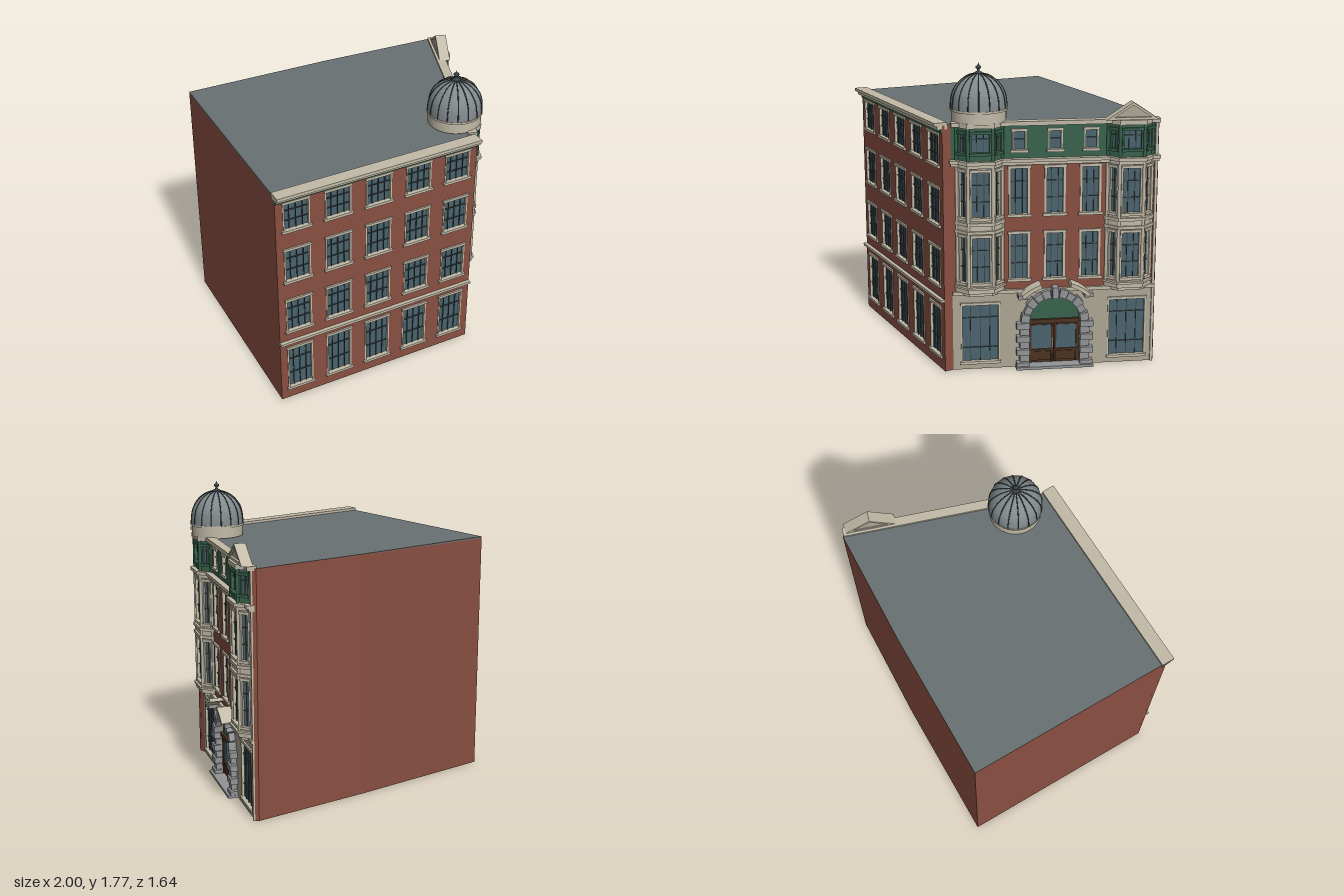
import * as THREE from 'three';

const mat = (color) => new THREE.MeshStandardMaterial({ color, side: THREE.DoubleSide });
const M = {
  brick: mat(0x8a4f41), stone: mat(0xc2bba8), wall: mat(0xaea695), glass: mat(0x4a646d),
  roof: mat(0x687173), green: mat(0x3a634e), grey: mat(0x929496), wood: mat(0x4c3322),
  dark: mat(0x3c4345), dome: mat(0x828b8e),
};

function add(parent, name, geo, m, x = 0, y = 0, z = 0) {
  const mesh = new THREE.Mesh(geo, m);
  mesh.name = name;
  mesh.position.set(x, y, z);
  parent.add(mesh);
  return mesh;
}
// box given by its extents
const box = (p, name, m, x0, x1, y0, y1, z0, z1) =>
  add(p, name, new THREE.BoxGeometry(x1 - x0, y1 - y0, z1 - z0), m, (x0 + x1) / 2, (y0 + y1) / 2, (z0 + z1) / 2);

const poly = (pts) => new THREE.Shape(pts.map(([x, y]) => new THREE.Vector2(x, y)));
const extrude = (shape, depth) => new THREE.ExtrudeGeometry(shape, { depth, bevelEnabled: false, curveSegments: 20 });
// plan outline (x, z) raised between two heights
const prism = (p, name, m, pts, y0, y1) =>
  add(p, name, extrude(poly(pts), y1 - y0).rotateX(Math.PI / 2), m, 0, y1, 0);

function group(parent, name, x, z, angle) {
  const g = new THREE.Group();
  g.name = name;
  g.position.set(x, 0, z);
  g.rotation.y = angle;
  parent.add(g);
  return g;
}

// wall sheet with rectangular openings, outer face on z = 0
function panel(p, name, m, x0, x1, y0, y1, holes, extra = []) {
  const s = poly([[x0, y0], [x1, y0], [x1, y1], [x0, y1]]);
  for (const [a, b, c, d] of holes) s.holes.push(poly([[a, c], [a, d], [b, d], [b, c]]));
  s.holes.push(...extra);
  add(p, name, extrude(s, 0.015), m, 0, 0, -0.015);
}

// glazed opening with casing, glazing bars, sill and lintel
function windowUnit(p, [x0, x1, y0, y1], { cols = 3, rows = [0.35, 0.7], trim = M.stone, t = 0.009, ledge = 0.01 } = {}) {
  const g = new THREE.Group();
  g.name = 'window';
  p.add(g);
  add(g, 'glass', new THREE.PlaneGeometry(x1 - x0, y1 - y0), M.glass, (x0 + x1) / 2, (y0 + y1) / 2, -0.012);
  const w = x1 - x0, h = y1 - y0;
  for (let i = 1; i < cols; i++) {
    const x = x0 + w * i / cols;
    box(g, 'glazingBar', M.dark, x - 0.002, x + 0.002, y0, y1, -0.012, -0.006);
  }
  for (const r of rows) box(g, 'glazingBar', M.dark, x0, x1, y0 + h * r - 0.002, y0 + h * r + 0.002, -0.012, -0.005);
  for (const x of [x0, x1 - t]) box(g, 'casing', trim, x, x + t, y0, y1, -0.012, 0.004);
  box(g, 'sill', trim, x0 - ledge, x1 + ledge, y0 - 0.008, y0 + 0.008, -0.012, 0.014);
  box(g, 'lintel', trim, x0 - ledge * 0.6, x1 + ledge * 0.6, y1 - 0.008, y1 + 0.008, -0.012, 0.01);
}

// curved or ring-shaped block
function arcBand(p, name, m, r0, r1, a0, a1, y, z0, z1, x) {
  const s = new THREE.Shape();
  s.absarc(0, 0, r1, a0, a1, false);
  s.absarc(0, 0, r0, a1, a0, true);
  add(p, name, extrude(s, z1 - z0), m, x, y, z0);
}

const L = [-0.98, 0.34], F = [0.2, 0.78], A = [0.215, 0.73], B = [0.96, -0.17];
const rear = [[0.95, -0.19], [0.3, -0.48], [-0.53, -0.82]];
const TOP = 1.44;

function buildShell(root) {
  // plain walls, open underneath
  const strip = (name, pts) => {
    for (let i = 0; i + 1 < pts.length; i++) {
      const [a, b] = [pts[i], pts[i + 1]];
      const len = Math.hypot(b[0] - a[0], b[1] - a[1]);
      const m = add(root, name, new THREE.PlaneGeometry(len, TOP), M.brick, (a[0] + b[0]) / 2, TOP / 2, (a[1] + b[1]) / 2);
      m.rotation.y = Math.atan2(-(b[1] - a[1]), b[0] - a[0]);
    }
  };
  strip('cornerWall', [F, A]);
  strip('rearWall', [B, ...rear, L]);
  prism(root, 'roof', M.roof, [L, F, A, B, ...rear], TOP - 0.01, TOP);
}

function buildSideFront(root) {
  const len = Math.hypot(F[0] - L[0], F[1] - L[1]);
  const g = group(root, 'brickFront', L[0], L[1], Math.atan2(L[1] - F[1], F[0] - L[0]));
  const openings = [];
  for (const [y0, y1] of [[0.075, 0.375], [0.5, 0.725], [0.855, 1.075], [1.2, 1.385]])
    for (let i = 0; i < 5; i++) {
      const c = 0.125 + i * 0.252;
      openings.push([c - 0.08, c + 0.08, y0, y1]);
    }
  panel(g, 'brickWall', M.brick, 0, len, 0, TOP, openings);
  openings.forEach((o) => windowUnit(g, o, { cols: 4 }));
  box(g, 'stringCourse', M.stone, 0, len, 0.418, 0.434, -0.01, 0.022);
  box(g, 'frieze', M.green, 0, len, 1.394, 1.42, -0.01, 0.008);
  box(g, 'corniceLower', M.stone, -0.003, len, 1.415, 1.436, -0.03, 0.03);
  box(g, 'corniceUpper', M.stone, -0.005, len, 1.436, 1.455, -0.03, 0.047);
}

// canted bay: outline, three glazed faces per storey, corner posts
function buildBay(p, c) {
  const g = group(p, 'bay', c, 0, 0);
  const a = 0.127, b = 0.07, d = 0.057;
  const outline = (e) => [[-a - e, -0.01], [-a - e, 0], [-b - e * 0.42, d + e], [b + e * 0.42, d + e], [a + e, 0], [a + e, -0.01]];
  const pts = [[-a, 0], [-b, d], [b, d], [a, 0]];
  const storeys = [[0.5, 0.84, 0.53, 0.81, M.stone], [0.84, 1.215, 0.91, 1.185, M.stone], [1.235, 1.435, 1.28, 1.4, M.green]];
  for (const [y0, y1, w0, w1, m] of storeys) {
    for (let i = 0; i < 3; i++) {
      const [p0, p1] = [pts[i], pts[i + 1]];
      const len = Math.hypot(p1[0] - p0[0], p1[1] - p0[1]);
      const f = group(g, 'bayFace', p0[0], p0[1], Math.atan2(p0[1] - p1[1], p1[0] - p0[0]));
      const o = [0.012, len - 0.012, w0, w1];
      panel(f, 'bayWall', m, 0, len, y0, y1, [o]);
      windowUnit(f, o, { cols: i === 1 ? 3 : 2, trim: m, ledge: 0.004, rows: m === M.green ? [0.7] : [0.35, 0.7] });
    }
    for (const [x, z] of pts) add(g, 'cornerPost', new THREE.CylinderGeometry(0.01, 0.01, y1 - y0, 8), m, x, (y0 + y1) / 2, z);
  }
  for (const [y0, y1, e] of [[0.455, 0.475, -0.01], [0.475, 0.5, 0.01], [0.5, 0.512, 0.02], [0.825, 0.842, 0.016],
    [0.842, 0.872, 0.004], [0.872, 0.89, 0.016], [1.2, 1.22, 0.012], [1.22, 1.24, 0.026], [1.425, 1.452, 0.014]])
    prism(g, 'bayBand', M.stone, outline(e), y0, y1);
}

function buildEntrance(p, c) {
  const g = group(p, 'entrance', c, 0, 0);
  const r = 0.147, spring = 0.28;
  // jamb blocks and arch stones, alternating large and small
  for (const s of [-1, 1])
    for (let i = 0; i < 7; i++) {
      const w = i % 2 ? 0.055 : 0.075, xs = [s * r, s * (r + w)].sort((m, n) => m - n);
      box(g, 'jambBlock', M.grey, xs[0], xs[1], i * 0.04 + 0.002, i * 0.04 + 0.038, -0.02, i % 2 ? 0.035 : 0.045);
    }
  for (let i = 0; i < 11; i++)
    arcBand(g, 'archStone', M.grey, r, i % 2 ? 0.187 : 0.197, (i + 0.04) * Math.PI / 11, (i + 0.96) * Math.PI / 11, spring, -0.02, i % 2 ? 0.035 : 0.045, 0);
  for (const s of [0, 1]) {
    const a = THREE.MathUtils.degToRad(s ? 108 : 46), e = THREE.MathUtils.degToRad(s ? 134 : 72);
    arcBand(g, 'brokenPediment', M.stone, 0.262, 0.284, a, e, 0.25, 0, 0.085, 0);
    const x = s ? -0.19 : 0.19;
    box(g, 'pedimentBlock', M.grey, x - 0.025, x + 0.025, 0.43, 0.455, 0, 0.07);
  }
  box(g, 'keystone', M.grey, -0.018, 0.018, 0.425, 0.49, 0, 0.06);
  // fanlight panel and transom
  add(g, 'fanlight', new THREE.CircleGeometry(r, 24, 0, Math.PI), M.green, 0, spring, -0.01);
  box(g, 'transom', M.wood, -r, r, 0.258, 0.284, -0.02, 0.006);
  // double door with flanking lights
  box(g, 'doorBacking', M.wood, -r, r, 0, 0.26, -0.022, -0.014);
  for (const s of [-1, 1]) {
    const pair = (name, m, x0, x1, y0, y1, z1) => box(g, name, m, Math.min(s * x0, s * x1), Math.max(s * x0, s * x1), y0, y1, -0.015, z1);
    pair('doorGlass', M.glass, 0.015, 0.13, 0.1, 0.245, -0.01);
    pair('doorPanel', M.wood, 0.018, 0.128, 0.03, 0.085, -0.006);
    pair('doorStile', M.wood, 0.002, 0.015, 0.02, 0.258, -0.004);
    pair('doorStile', M.wood, 0.13, r, 0.02, 0.258, -0.004);
    pair('doorRail', M.wood, 0.002, r, 0.088, 0.1, -0.003);
    pair('doorHandle', M.stone, 0.006, 0.01, 0.11, 0.17, 0.004);
  }
  box(g, 'doorStep', M.grey, -0.225, 0.225, 0, 0.016, -0.02, 0.06);
}

function buildMainFront(root) {
  const len = Math.hypot(B[0] - A[0], B[1] - A[1]);
  const g = group(root, 'mainFront', A[0], A[1], Math.atan2(A[1] - B[1], B[0] - A[0]));
  const mid = len / 2, bays = [0.158, len - 0.158], cols = [mid - 0.203, mid, mid + 0.203];
  // ground storey
  const shop = bays.map((c) => [c - 0.112, c + 0.112, 0.04, 0.395]);
  const arch = new THREE.Path();
  arch.moveTo(mid - 0.147, 0.001).lineTo(mid + 0.147, 0.001).lineTo(mid + 0.147, 0.28);
  arch.absarc(mid, 0.28, 0.147, 0, Math.PI, false);
  arch.lineTo(mid - 0.147, 0.001);
  panel(g, 'groundWall', M.wall, 0, len, 0, 0.47, shop, [arch]);
  shop.forEach((o) => windowUnit(g, o, { cols: 4, rows: [0.25, 0.76], ledge: 0.005 }));
  box(g, 'shopCornice', M.stone, 0, len, 0.455, 0.475, -0.01, 0.018);
  buildEntrance(g, mid);
  // brick storeys
  const windows = cols.flatMap((c) => [[c - 0.06, c + 0.06, 0.53, 0.81], [c - 0.06, c + 0.06, 0.91, 1.19]]);
  panel(g, 'brickWall', M.brick, 0, len, 0.47, 1.22, windows);
  windows.forEach((o) => windowUnit(g, o, { t: 0.014 }));
  // green attic storey
  const attic = cols.map((c) => [c - 0.04, c + 0.04, 1.28, 1.4]);
  panel(g, 'atticWall', M.green, 0, len, 1.22, TOP, attic);
  attic.forEach((o) => windowUnit(g, o, { cols: 1, rows: [0.55] }));
  box(g, 'atticCornice', M.stone, -0.005, len + 0.005, 1.205, 1.222, -0.01, 0.022);
  box(g, 'atticCornice', M.stone, -0.01, len + 0.01, 1.222, 1.24, -0.01, 0.035);
  box(g, 'roofCornice', M.stone, 0, len + 0.005, 1.428, 1.452, -0.025, 0.03);
  box(g, 'endPier', M.stone, len - 0.016, len, 0, 1.43, -0.02, 0.01);
  bays.forEach((c) => buildBay(g, c));
  // gable over the far bay
  const tri = (w, h) => poly([[-w, 0], [w, 0], [0, h]]);
  const rim = tri(0.15, 0.1);
  rim.holes.push(poly([[-0.105, 0.015], [0, 0.083], [0.105, 0.015]]));
  add(g, 'gableRim', extrude(rim, 0.065), M.stone, bays[1], 1.45, -0.01);
  add(g, 'gableField', extrude(tri(0.13, 0.088), 0.045), M.wall, bays[1], 1.45, -0.005);
}

function buildDome(root) {
  const g = group(root, 'cornerDome', 0.265, 0.56, 0);
  const lathe = (name, m, pts, n = 48) => add(g, name, new THREE.LatheGeometry(pts.map(([x, y]) => new THREE.Vector2(x, y)), n), m);
  add(g, 'drum', new THREE.CylinderGeometry(0.153, 0.153, 0.065, 48), M.stone, 0, 1.478, 0);
  add(g, 'drumRim', new THREE.CylinderGeometry(0.16, 0.16, 0.012, 48), M.stone, 0, 1.514, 0);
  const at = (t) => [0.157 * Math.cos(t), 1.518 + 0.055 * Math.min(1, t * 3) * 0.4 + 0.17 * Math.sin(t)];
  const curve = Array.from({ length: 17 }, (_, i) => at(i / 16 * Math.PI / 2));
  lathe('domeShell', M.dome, curve);
  const path = new THREE.CatmullRomCurve3(curve.map(([x, y]) => new THREE.Vector3(x, y, 0)));
  const rib = new THREE.TubeGeometry(path, 20, 0.0035, 5);
  for (let i = 0; i < 16; i++) add(g, 'domeRib', rib, M.dark).rotation.y = i * Math.PI / 8;
  lathe('finial', M.dark, [[0.024, 1.705], [0.02, 1.716], [0.008, 1.722], [0.007, 1.732], [0.016, 1.74],
    [0.016, 1.747], [0.006, 1.754], [0, 1.768]], 12);
}

export function createModel() {
  const root = new THREE.Group();
  root.name = 'cornerBuilding';
  buildShell(root);
  buildSideFront(root);
  buildMainFront(root);
  buildDome(root);
  return root;
}
